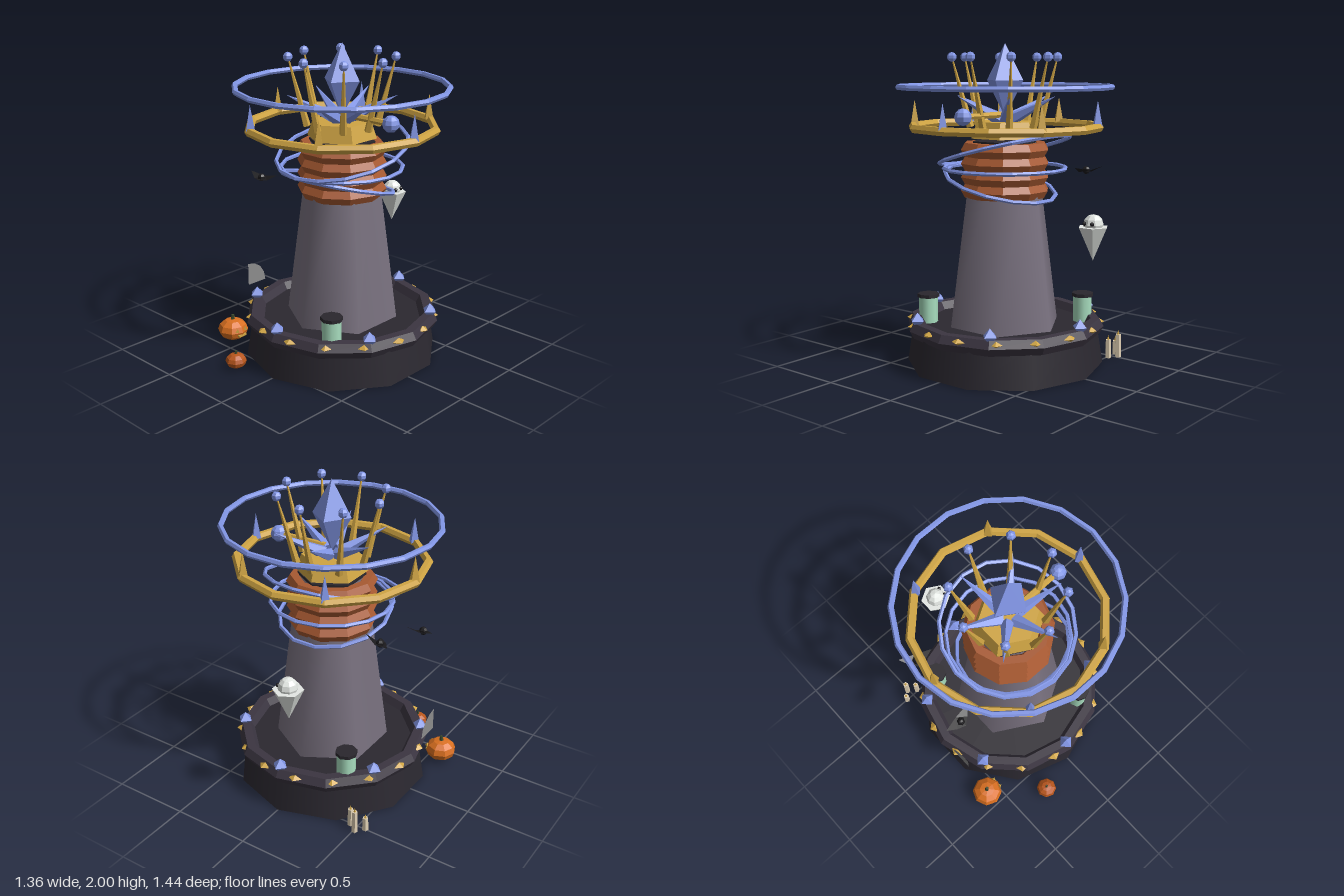
import * as THREE from 'three';

const mat = (color, smooth = false, extra = {}) =>
  new THREE.MeshStandardMaterial({ color, flatShading: !smooth, ...extra });
const M = {
  stone: mat(0x7a7280, true), base: mat(0x2b2830, true), dark: mat(0x2a272d), rim: mat(0x3b3541),
  copper: mat(0xa85a32), gold: mat(0xd0a544), blue: mat(0x8296e6), black: mat(0x1b1a1d, false, { side: THREE.DoubleSide }),
  jar: mat(0xa9dfc0, true), pumpkin: mat(0xd96f20), smallPumpkin: mat(0xb8561c), stem: mat(0x3c4a2c),
  ghost: mat(0xe4e8e4), wax: mat(0xe0d0b4), web: mat(0x8c8c8c, false, { side: THREE.DoubleSide }),
};

function add(parent, name, geometry, material, x = 0, y = 0, z = 0) {
  const mesh = new THREE.Mesh(geometry, material);
  mesh.name = name;
  mesh.position.set(x, y, z);
  parent.add(mesh);
  return mesh;
}

// Horizontal ring
function ring(parent, name, material, R, tube, y, sides, segments) {
  const geo = new THREE.TorusGeometry(R, tube, sides, segments).rotateX(Math.PI / 2);
  return add(parent, name, geo, material, 0, y, 0);
}

// Tapered bar running from a to b
function bar(parent, name, material, a, b, r0, r1, sides) {
  const dir = b.clone().sub(a);
  const mesh = add(parent, name, new THREE.CylinderGeometry(r1, r0, dir.length(), sides), material);
  mesh.position.copy(a).lerp(b, 0.5);
  mesh.quaternion.setFromUnitVectors(new THREE.Vector3(0, 1, 0), dir.normalize());
  return mesh;
}

// Point on a circle; angle 0 is +x, a quarter turn is +z
const polar = (r, angle, y) => new THREE.Vector3(r * Math.cos(angle), y, r * Math.sin(angle));

function around(count, start, fn) {
  for (let i = 0; i < count; i++) fn(start + (i * Math.PI * 2) / count, i);
}

function buildTower() {
  const g = new THREE.Group();
  g.name = 'tower';
  g.position.set(0.004, 0, -0.027);

  // Base, rim and shaft
  add(g, 'base', new THREE.CylinderGeometry(0.58, 0.62, 0.25, 10), M.base, 0, 0.125, 0);
  ring(g, 'baseRim', M.rim, 0.57, 0.055, 0.25, 6, 12);
  add(g, 'shaft', new THREE.CylinderGeometry(0.21, 0.36, 1.14, 6), M.stone, 0, 0.82, 0);

  // Rim ornaments
  around(16, Math.PI / 16, (a) => {
    const p = polar(0.592, a, 0.27);
    const m = add(g, 'rimStud', new THREE.OctahedronGeometry(1), M.gold, p.x, p.y, p.z);
    m.scale.set(0.035, 0.022, 0.045);
    m.rotation.y = -a;
  });
  around(6, Math.PI / 2, (a) => {
    const p = polar(0.575, a, 0.315);
    add(g, 'rimCrystal', new THREE.OctahedronGeometry(0.05), M.blue, p.x, p.y, p.z);
  });

  // Stacked collars and cap
  for (let i = 0; i < 4; i++) ring(g, 'collar', M.copper, 0.23, 0.05, 1.1 + i * 0.084, 6, 10);
  add(g, 'neck', new THREE.CylinderGeometry(0.21, 0.21, 0.1, 6), M.dark, 0, 1.355, 0);
  add(g, 'cap', new THREE.CylinderGeometry(0.185, 0.22, 0.1, 6), M.gold, 0, 1.472, 0);

  // Orbit rings around the collars, level and tilted
  ring(g, 'levelOrbit', M.blue, 0.38, 0.013, 1.235, 5, 16);
  const upper = ring(g, 'upperOrbit', M.blue, 0.415, 0.013, 1.345, 5, 16);
  upper.rotation.x = 0.262;
  const lower = ring(g, 'lowerOrbit', M.blue, 0.355, 0.013, 1.138, 5, 14);
  lower.rotation.x = -0.264;
  lower.position.z = 0.035;

  // Crown rings with alternating spikes
  ring(g, 'goldRing', M.gold, 0.58, 0.028, 1.49, 6, 12);
  ring(g, 'blueRing', M.blue, 0.655, 0.018, 1.735, 6, 18);
  around(6, 0, (a, i) => {
    const spike = i % 2 ? M.gold : M.blue;
    const p = polar(0.57, a, 1.575);
    add(g, 'ringSpike', new THREE.ConeGeometry(0.036, 0.16, 4), spike, p.x, p.y, p.z);
  });

  // Central crystal with radiating shards
  const crystal = add(g, 'centralCrystal', new THREE.OctahedronGeometry(1), M.blue, 0, 1.775, 0);
  crystal.scale.set(0.125, 0.225, 0.125);
  crystal.rotation.y = 0.2;
  around(6, 0.297, (a) =>
    bar(g, 'shard', M.blue, polar(0.05, a, 1.54), polar(0.335, a, 1.68), 0.042, 0.001, 5));

  // Gold pins tipped with blue beads
  around(8, 0, (a) => {
    const tip = polar(0.325, a, 1.915);
    bar(g, 'pin', M.gold, polar(0.215, a, 1.49), tip, 0.025, 0.004, 5);
    add(g, 'pinBead', new THREE.SphereGeometry(0.03, 6, 5), M.blue, tip.x, tip.y, tip.z);
  });

  // Side arm with orb
  bar(g, 'arm', M.gold, new THREE.Vector3(0.05, 1.565, 0), new THREE.Vector3(0.37, 1.565, 0), 0.022, 0.018, 6);
  add(g, 'armOrb', new THREE.SphereGeometry(0.052, 8, 6), M.blue, 0.393, 1.565, 0);
  return g;
}

function buildJar(x, z) {
  const g = new THREE.Group();
  g.name = 'jar';
  g.position.set(x, 0.25, z);
  add(g, 'jarBody', new THREE.CylinderGeometry(0.06, 0.06, 0.17, 8), M.jar, 0, 0.085, 0);
  add(g, 'jarLid', new THREE.CylinderGeometry(0.069, 0.069, 0.022, 8), M.dark, 0, 0.172, 0);
  return g;
}

function buildPumpkin(x, z, r, material, face) {
  const g = new THREE.Group();
  g.name = 'pumpkin';
  g.position.set(x, r * 0.8, z);
  add(g, 'pumpkinBody', new THREE.SphereGeometry(r, 8, 6), material).scale.y = 0.72;
  const stem = add(g, 'stem', new THREE.CylinderGeometry(r * 0.1, r * 0.15, r * 0.38, 5), M.stem, 0, r * 0.82, 0);
  stem.rotation.z = -0.12;
  if (face) {
    // Carved face on the side toward the tower
    for (const s of [-1, 1]) {
      const eye = add(g, 'eye', new THREE.ConeGeometry(r * 0.16, r * 0.25, 3), M.gold, r * 0.87, r * 0.22, s * r * 0.33);
      eye.rotation.y = Math.PI / 2;
    }
    add(g, 'mouth', new THREE.BoxGeometry(r * 0.15, r * 0.14, r * 0.6), M.gold, r * 0.9, -r * 0.2, 0);
  }
  return g;
}

function buildBat(x, y, z, yaw) {
  const g = new THREE.Group();
  g.name = 'bat';
  g.position.set(x, y, z);
  g.rotation.y = yaw;
  add(g, 'batBody', new THREE.SphereGeometry(0.026, 6, 5), M.black);
  for (const s of [-1, 1]) {
    const wing = new THREE.BufferGeometry();
    wing.setAttribute('position', new THREE.Float32BufferAttribute([
      0, 0, -0.04, s * 0.105, 0.022, -0.03, s * 0.05, -0.012, 0.01,
      0, 0, -0.04, s * 0.05, -0.012, 0.01, 0, -0.01, 0.04], 3));
    wing.computeVertexNormals();
    add(g, 'batWing', wing, M.black);
  }
  return g;
}

function buildGhost() {
  const g = new THREE.Group();
  g.name = 'ghost';
  g.position.set(-0.09, 0, -0.625);
  add(g, 'ghostBody', new THREE.ConeGeometry(0.095, 0.205, 6).rotateX(Math.PI), M.ghost, 0, 0.812, 0);
  add(g, 'ghostHead', new THREE.SphereGeometry(0.062, 8, 6), M.ghost, 0, 0.928, 0);
  for (const s of [-1, 1]) add(g, 'ghostEye', new THREE.SphereGeometry(0.013, 6, 5), M.black, 0.054, 0.937, s * 0.027);
  return g;
}

export function createModel() {
  const model = new THREE.Group();
  model.name = 'hauntedTower';
  model.add(buildTower());
  model.add(buildJar(0.29, 0.365), buildJar(-0.34, -0.385));
  model.add(buildPumpkin(-0.587, 0.4, 0.1, M.pumpkin, true));
  model.add(buildPumpkin(-0.264, 0.655, 0.067, M.smallPumpkin, false));
  model.add(buildBat(-0.505, 1.195, -0.29, -0.4), buildBat(-0.545, 1.085, 0.15, 0.2));
  model.add(buildGhost());

  // Candle cluster behind the base
  for (const [x, z, h] of [[-0.51, -0.55, 0.15], [-0.555, -0.5, 0.09], [-0.455, -0.51, 0.12]]) {
    add(model, 'candle', new THREE.CylinderGeometry(0.018, 0.02, h, 5), M.wax, x, h / 2, z);
    add(model, 'flame', new THREE.ConeGeometry(0.009, 0.03, 5), M.gold, x, h + 0.014, z);
  }

  // Thin quarter-round web panel
  const web = add(model, 'web', new THREE.CircleGeometry(0.15, 4, 0, Math.PI / 2), M.web, -0.6, 0.34, 0.24);
  web.rotation.y = Math.PI / 2;
  return model;
}
